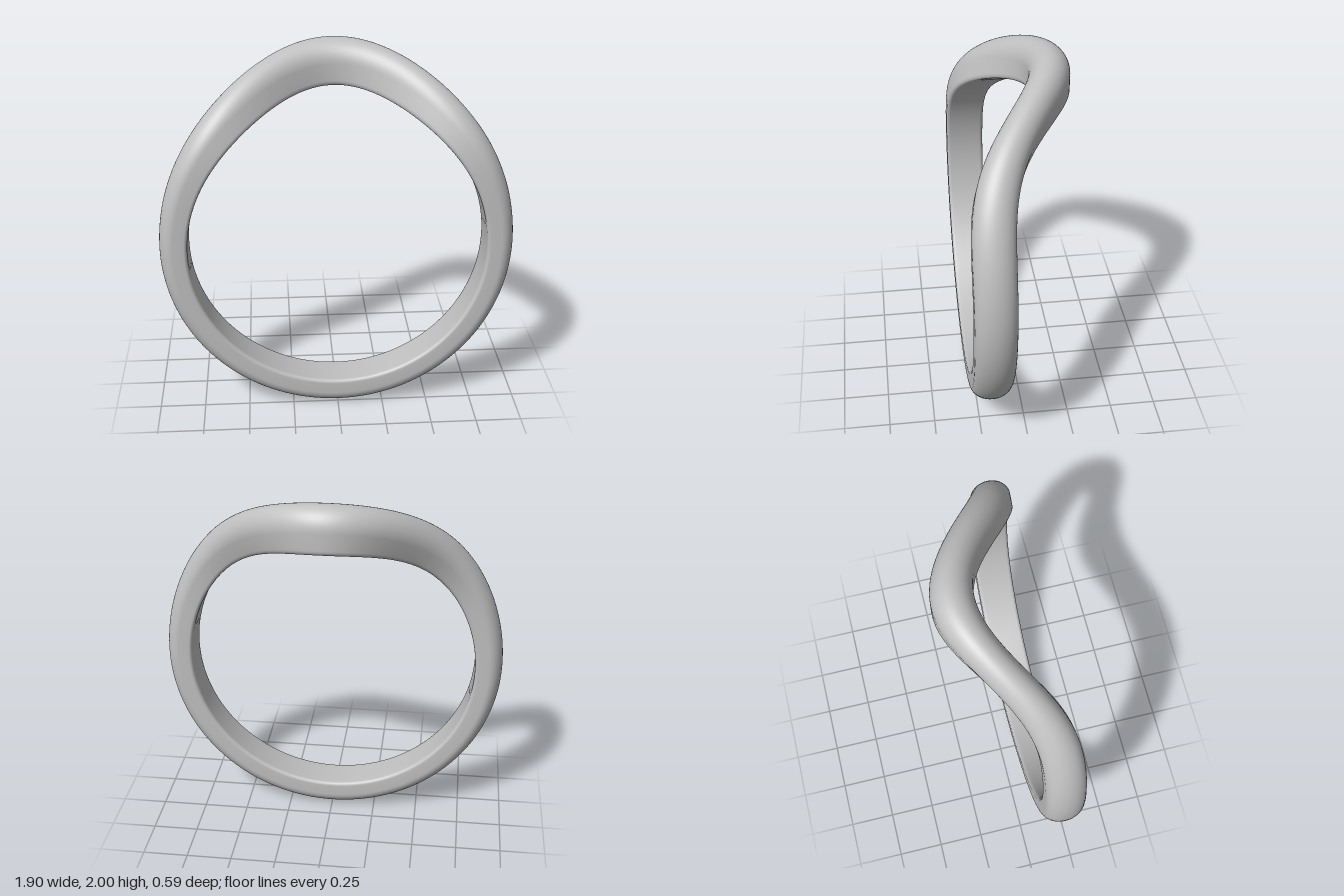
import * as THREE from 'three';

const HALF_WIDTH = 0.108, INNER_RADIUS = 0.8, CENTRE_Y = 0.96;

// Cross-section loop: [z offset, height as a fraction of the band's thickness].
// Domed outside, straight sides, flat inside with small rounded corners.
function bandSection() {
  const points = [];
  const domeSteps = 20, cornerSteps = 4;
  for (let i = 0; i <= domeSteps; i++) {
    const a = Math.PI * (1 - i / domeSteps);
    points.push([HALF_WIDTH * Math.cos(a), 0.5 + 0.5 * Math.sin(a)]);
  }
  const corner = (side, a) => points.push([
    side * (HALF_WIDTH - 0.02 + 0.02 * Math.cos(a)), 0.12 * (1 - Math.sin(a)),
  ]);
  points.push([HALF_WIDTH, 0.3]);
  for (let i = 0; i <= cornerSteps; i++) corner(1, (i / cornerSteps) * Math.PI / 2);
  points.push([0.045, 0], [0, 0], [-0.045, 0]);
  for (let i = cornerSteps; i >= 0; i--) corner(-1, (i / cornerSteps) * Math.PI / 2);
  points.push([-HALF_WIDTH, 0.3]);
  return points;
}

// Sweep the section round the circle, bending the crown back into a peak
function bandGeometry() {
  const section = bandSection();
  const segments = 192, n = section.length;
  const positions = [], indices = [];
  for (let i = 0; i < segments; i++) {
    const angle = (i / segments) * Math.PI * 2;
    const c = Math.cos(angle), s = Math.sin(angle);
    const outer = 1 / Math.hypot(c / 0.952, s / (s > 0 ? 1.04 : 0.96));
    const bend = 0.188 - (s > 0 ? 0.376 * s ** 6 : 0);
    for (const [z, h] of section) {
      const r = INNER_RADIUS + h * (outer - INNER_RADIUS);
      positions.push(r * c, CENTRE_Y + r * s, bend + z);
    }
    const next = (i + 1) % segments;
    for (let j = 0; j < n; j++) {
      const k = (j + 1) % n;
      const a = i * n + j, b = next * n + j, d = i * n + k, e = next * n + k;
      indices.push(a, b, d, b, e, d);
    }
  }
  const geometry = new THREE.BufferGeometry();
  geometry.setAttribute('position', new THREE.Float32BufferAttribute(positions, 3));
  geometry.setIndex(indices);
  geometry.computeVertexNormals();
  return geometry;
}

export function createModel() {
  const silver = new THREE.MeshStandardMaterial({ color: 0xc0c0c0 });
  silver.name = 'silver';

  const band = new THREE.Mesh(bandGeometry(), silver);
  band.name = 'ringBand';

  const group = new THREE.Group();
  group.name = 'ring';
  group.add(band);
  return group;
}
